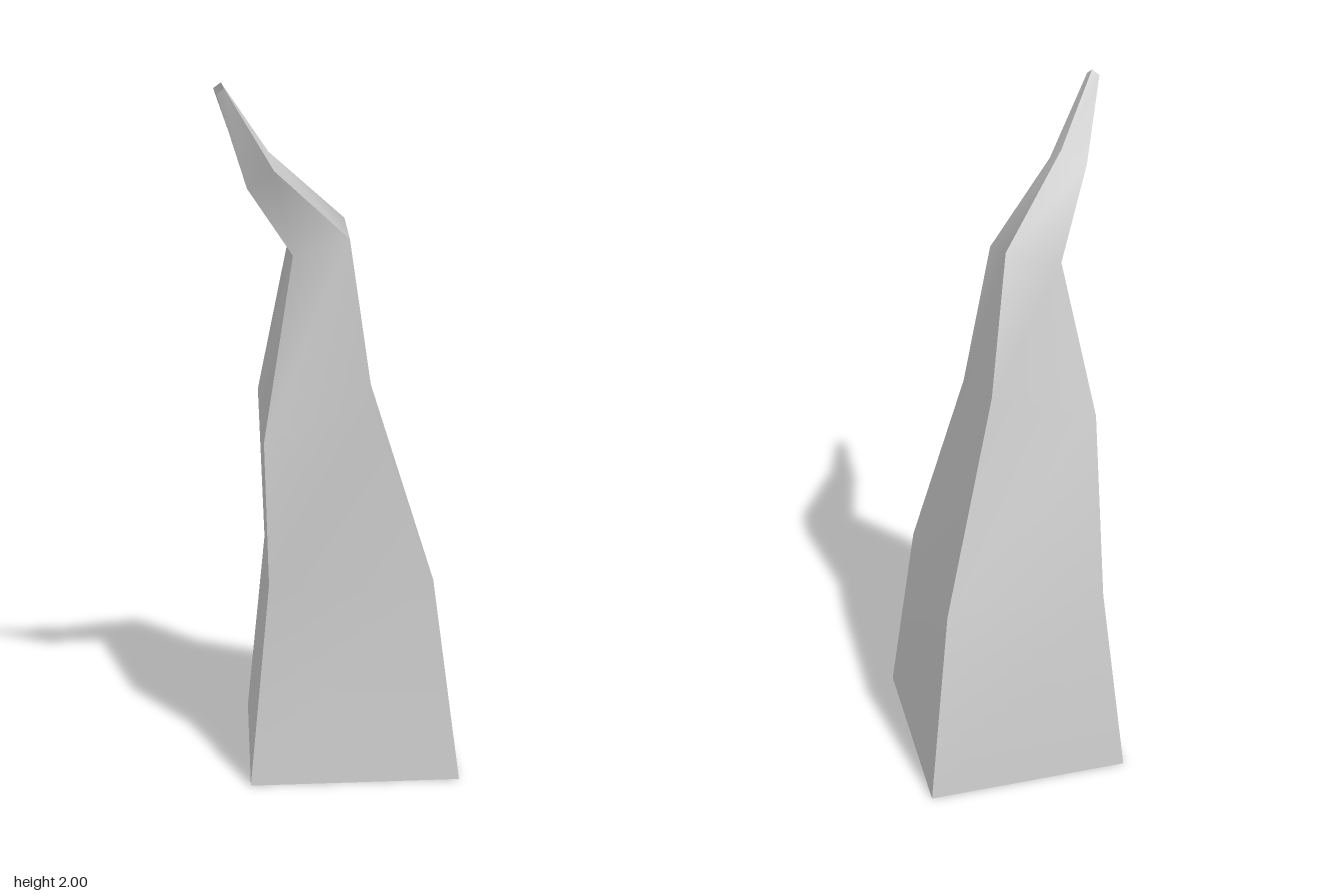
import * as THREE from 'three';
import { mergeGeometries } from 'three/addons/utils/BufferGeometryUtils.js';

// Diamond cross-sections up the horn: outer corner (x, y), inner corner (x, y), half depth in z
const SECTIONS = [
  { outer: [0.48, 0], inner: [-0.385, 0], depth: 0.43 },
  { outer: [0.37, 0.6], inner: [-0.3, 0.59], depth: 0.335 },
  { outer: [0.11, 1.2], inner: [-0.315, 1.01], depth: 0.225 },
  { outer: [0.03, 1.615], inner: [-0.19, 1.525], depth: 0.115 },
  { outer: [-0.285, 1.815], inner: [-0.37, 1.72], depth: 0.06 },
  { outer: [-0.463, 2], inner: [-0.48, 1.97], depth: 0.02 },
];

// Four corners of a section: outer, front, inner, back
function corners({ outer, inner, depth }) {
  const x = (outer[0] + inner[0]) / 2;
  const y = (outer[1] + inner[1]) / 2;
  return [[...outer, 0], [x, y, depth], [...inner, 0], [x, y, -depth]];
}

// One side of the horn: smooth along its length, sharp at its two long edges
function sideStrip(rings, side) {
  const positions = [];
  const index = [];
  rings.forEach((ring, i) => {
    positions.push(...ring[side], ...ring[(side + 1) % 4]);
    if (i === rings.length - 1) return;
    const a = i * 2, b = a + 1, c = a + 2, d = a + 3;
    index.push(b, a, c, b, c, d);
  });
  const geometry = new THREE.BufferGeometry();
  geometry.setAttribute('position', new THREE.Float32BufferAttribute(positions, 3));
  geometry.setIndex(index);
  geometry.computeVertexNormals();
  return geometry;
}

export function createModel() {
  const group = new THREE.Group();
  group.name = 'bentHorn';

  // Tapered four-sided shell, open at the base and the tip
  const rings = SECTIONS.map(corners);
  const shell = mergeGeometries([0, 1, 2, 3].map((side) => sideStrip(rings, side)));
  const material = new THREE.MeshStandardMaterial({ color: 0xcccccc, side: THREE.DoubleSide });
  const horn = new THREE.Mesh(shell, material);
  horn.name = 'hornShell';
  group.add(horn);

  return group;
}
